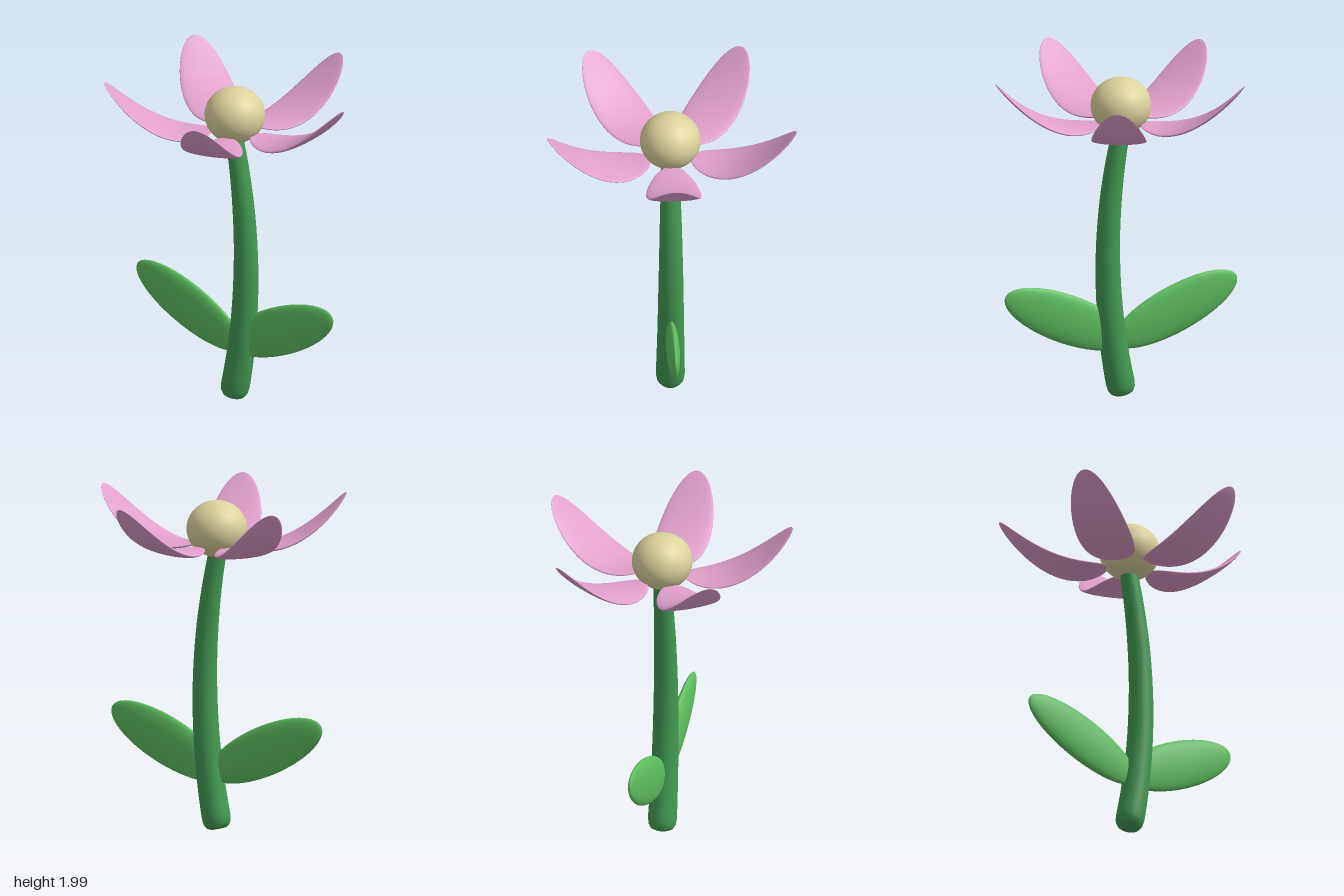
import * as THREE from 'three';
import { mergeVertices } from 'three/addons/utils/BufferGeometryUtils.js';

const mat = (name, color) => {
  const m = new THREE.MeshStandardMaterial({ color });
  m.name = name;
  return m;
};

// Moves every vertex by a rule, then rebuilds seamless smooth normals
function deform(geometry, rule) {
  geometry.deleteAttribute('uv');
  geometry.deleteAttribute('normal');
  const g = mergeVertices(geometry, 1e-5);
  const p = g.attributes.position;
  const v = new THREE.Vector3();
  for (let i = 0; i < p.count; i++) {
    rule(v.fromBufferAttribute(p, i));
    p.setXYZ(i, v.x, v.y, v.z);
  }
  g.computeVertexNormals();
  return g;
}

export function createModel() {
  const petalPink = mat('petalPink', 0xe09fcb);
  const leafGreen = mat('leafGreen', 0x5fbf60);
  const stemGreen = mat('stemGreen', 0x439a52);
  const centerYellow = mat('centerYellow', 0xdbd29c);

  const flower = new THREE.Group();
  flower.name = 'flower';
  const axisX = -0.03;

  const add = (name, geometry, material, parent = flower) => {
    const mesh = new THREE.Mesh(geometry, material);
    mesh.name = name;
    parent.add(mesh);
    return mesh;
  };

  // Stem: tapered profile with a rounded foot, bent along a gentle arc
  const profile = [
    [0, 0], [0.045, 0.002], [0.066, 0.012], [0.08, 0.035], [0.085, 0.07],
    [0.084, 0.13], [0.079, 0.4], [0.073, 0.8], [0.065, 1.2], [0.054, 1.6], [0.05, 1.72], [0, 1.74],
  ].map(([r, y]) => new THREE.Vector2(r, y));
  const fine = [];
  profile.forEach((a, i) => {
    const b = profile[i + 1];
    const steps = b ? Math.max(1, Math.round((b.y - a.y) / 0.06)) : 1;
    for (let s = 0; s < steps; s++) fine.push(b ? a.clone().lerp(b, s / steps) : a);
  });
  add('stem', deform(new THREE.LatheGeometry(fine, 32), (v) => {
    const y = v.y + 0.015;
    const tilt = Math.atan(-0.26 * (y - 0.85));
    const c = 0.05 - 0.13 * (y - 0.85) ** 2;
    v.set(c + v.x * Math.cos(tilt), y - v.x * Math.sin(tilt), v.z);
  }), stemGreen);

  // Leaves: a mirrored pair of flat ellipsoids
  for (const side of [1, -1]) {
    const leaf = add(side > 0 ? 'leftLeaf' : 'rightLeaf', new THREE.SphereGeometry(1, 48, 32), leafGreen);
    leaf.scale.set(0.413, 0.146, 0.038);
    leaf.rotation.z = side * 0.431;
    leaf.position.set(axisX + side * 0.33, 0.5075, 0);
  }

  // Flower center
  const center = add('flowerCenter', new THREE.SphereGeometry(1, 48, 32), centerYellow);
  center.scale.set(0.178, 0.167, 0.178);
  center.position.set(axisX, 1.8, 0);

  // Petals: thin ellipsoids curling upward toward the tip
  const petalGeometry = deform(new THREE.SphereGeometry(1, 40, 40).rotateZ(-Math.PI / 2), (v) => {
    const r = 0.446 + v.x * 0.319;
    v.set(r, 1.686 + v.y * 0.023 + 1.185 * (r - 0.25) ** 2, v.z * 0.162);
  });
  const petals = new THREE.Group();
  petals.name = 'petals';
  petals.position.x = axisX;
  flower.add(petals);
  for (let i = 0; i < 5; i++) {
    add('petal' + (i + 1), petalGeometry, petalPink, petals).rotation.y = (i * Math.PI * 2) / 5;
  }

  return flower;
}
